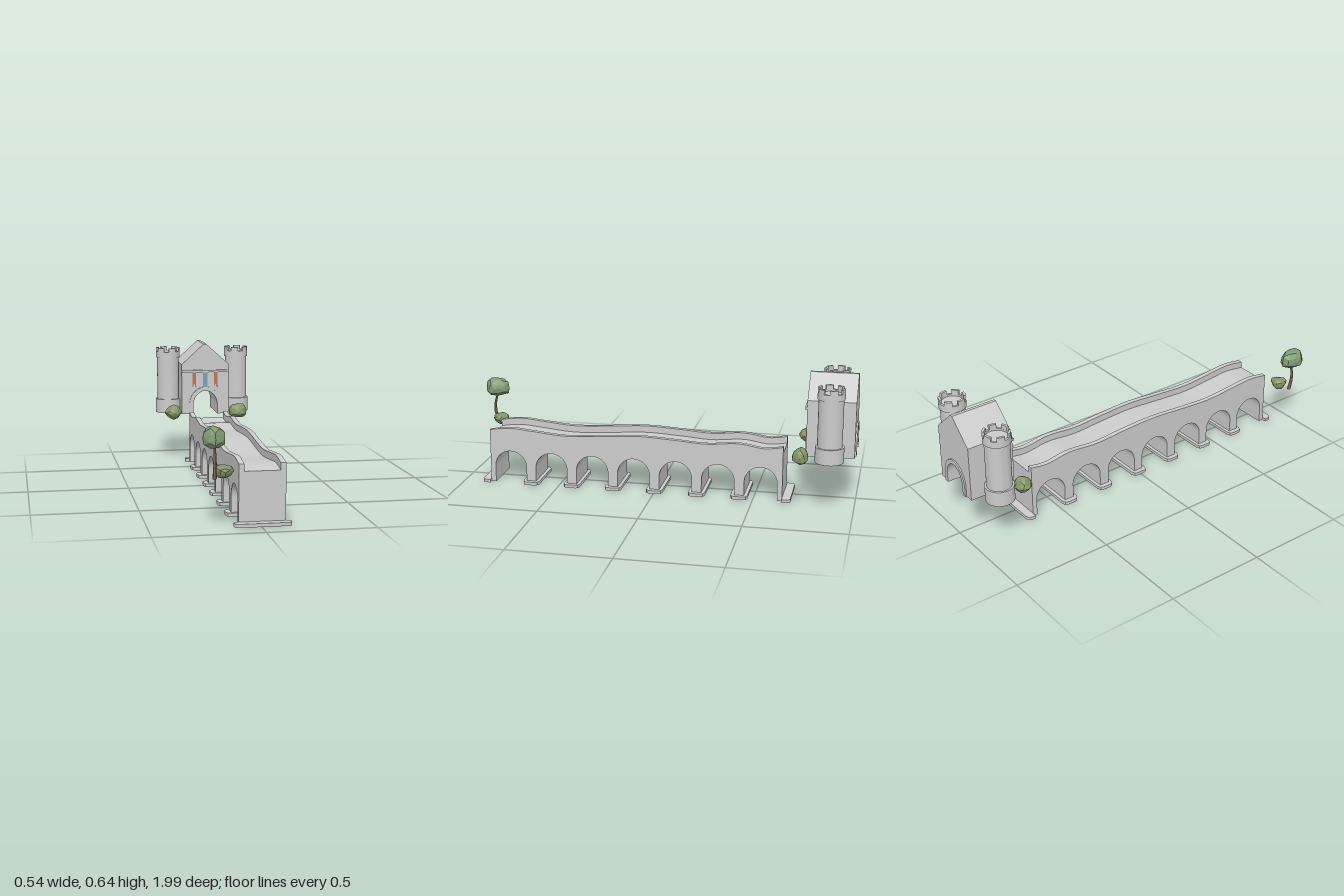
import * as THREE from 'three';
import { toCreasedNormals } from 'three/addons/utils/BufferGeometryUtils.js';

const CX = 0.0105; // shared centre line of bridge and gatehouse
const mat = (color, extra = {}) => new THREE.MeshStandardMaterial({ color, ...extra });
const stone = mat(0xcccccc);
const leaf = mat(0x7f9a74, { flatShading: true });
const bushGreen = mat(0x87966a, { flatShading: true });
const bark = mat(0x9a8070, { flatShading: true });

function add(parent, name, geometry, material = stone, x = 0, y = 0, z = 0) {
  const mesh = new THREE.Mesh(geometry, material);
  mesh.name = name;
  mesh.position.set(x, y, z);
  parent.add(mesh);
  return mesh;
}

const extrude = (shape, depth) => toCreasedNormals(
  new THREE.ExtrudeGeometry(shape, { depth, bevelEnabled: false, curveSegments: 24 }), 0.5);

// Side profile (shape x = -z) swept along +x
const extrudeAcross = (shape, depth) => extrude(shape, depth).rotateY(Math.PI / 2);

function makeBridge() {
  const bridge = new THREE.Group();
  bridge.name = 'bridge';
  const start = -0.86, step = 0.215, bays = 7, end = start + bays * step;
  const halfPier = 0.025, r = step / 2 - halfPier, spring = 0.086;
  const width = 0.214, wall = 0.025, drop = 0.034;

  // Gently waving line of the parapet top
  const wave = new THREE.SplineCurve([
    [-0.86, 0.278], [-0.75, 0.291], [-0.62, 0.28], [-0.46, 0.267], [-0.28, 0.276], [-0.085, 0.289],
    [0.1, 0.281], [0.26, 0.271], [0.42, 0.283], [0.55, 0.266], [end, 0.278],
  ].map(([x, y]) => new THREE.Vector2(x, y))).getPoints(70);

  // Arcade up to the deck
  const body = new THREE.Shape();
  body.moveTo(start, 0);
  for (let i = 0; i < bays; i++) {
    const c = start + (i + 0.5) * step;
    body.lineTo(c - r, 0);
    body.lineTo(c - r, spring);
    body.absarc(c, spring, r, Math.PI, 0, true);
    body.lineTo(c + r, 0);
  }
  body.lineTo(end, 0);
  for (const p of [...wave].reverse()) body.lineTo(p.x, p.y - drop);
  add(bridge, 'archedBody', extrudeAcross(body, width), stone, CX - width / 2);

  // Parapets follow the deck
  const strip = new THREE.Shape([
    ...wave.map((p) => new THREE.Vector2(p.x, p.y - drop)),
    ...[...wave].reverse(),
  ]);
  for (const x of [CX - width / 2, CX + width / 2 - wall])
    add(bridge, 'parapet', extrudeAcross(strip, wall), stone, x);

  // Pier footings with rounded ends, halved at both bridge ends
  for (let i = 0; i <= bays; i++) {
    const z = -(start + i * step), hw = 0.042, out = 0.024, hx = width / 2;
    const lo = i === bays ? 0 : -1, hi = i === 0 ? 0 : 1;
    const foot = new THREE.Shape();
    const pts = [];
    for (let k = 0; k <= 12; k++) {
      const a = THREE.MathUtils.lerp(lo, hi, k / 12);
      pts.push(new THREE.Vector2(hx + out * Math.sqrt(Math.max(0, 1 - a ** 4)), a * hw));
    }
    foot.setFromPoints([...pts, ...pts.map((p) => new THREE.Vector2(-p.x, p.y)).reverse()]);
    const geo = extrude(foot, 0.016).rotateX(-Math.PI / 2);
    add(bridge, 'pierFooting', geo, stone, CX, 0, z);
  }
  return bridge;
}

// Arch outline starting at the lower left, as points
function archPoints(hw, base, spring, top) {
  const pts = [new THREE.Vector2(-hw, base)];
  for (let k = 0; k <= 24; k++) {
    const a = Math.PI * (1 - k / 24);
    pts.push(new THREE.Vector2(hw * Math.cos(a), spring + (top - spring) * Math.sin(a)));
  }
  pts.push(new THREE.Vector2(hw, base));
  return pts;
}

function makeGatehouse() {
  const gate = new THREE.Group();
  gate.name = 'gatehouse';
  const base = 0.25, hw = 0.1325, front = -0.757, back = -0.992;
  const inner = archPoints(0.068, base, 0.3, 0.38);
  const outer = archPoints(0.09, base, 0.3, 0.402);

  // Gabled block with a passage
  const wall = new THREE.Shape([
    new THREE.Vector2(-hw, base), ...inner, new THREE.Vector2(hw, base),
    new THREE.Vector2(hw, 0.53), new THREE.Vector2(0.008, 0.643),
    new THREE.Vector2(-0.008, 0.643), new THREE.Vector2(-hw, 0.53),
  ]);
  add(gate, 'gabledBlock', extrude(wall, front - back), stone, CX, 0, back);

  // Raised arch surround, through to both faces
  const surround = new THREE.Shape([...outer, ...[...inner].reverse()]);
  add(gate, 'archSurround', extrude(surround, front - back + 0.014), stone, CX, 0, back - 0.007);

  add(gate, 'ledge', new THREE.BoxGeometry(2 * hw, 0.012, 0.012), stone, CX, 0.491, front + 0.004);

  // Swallow-tailed banners
  const banners = [[-0.0615, 0.02, 0.402, 0xb5765e], [0, 0.026, 0.387, 0x7f9db5], [0.0595, 0.02, 0.402, 0xb5765e]];
  for (const [x, w, low, color] of banners) {
    const cloth = new THREE.Shape();
    cloth.moveTo(-w / 2, 0.485);
    cloth.lineTo(-w / 2, low);
    cloth.lineTo(0, low + 0.019);
    cloth.lineTo(w / 2, low);
    cloth.lineTo(w / 2, 0.485);
    add(gate, 'banner', extrude(cloth, 0.003), mat(color), CX + x, 0, front + 0.001);
  }
  for (const side of [-1, 1]) gate.add(makeTower(side));
  return gate;
}

function makeTower(side) {
  const tower = new THREE.Group();
  tower.name = side > 0 ? 'leftTower' : 'rightTower';
  tower.position.set(CX + side * 0.1955, 0, -0.875);

  // Base drum, shaft and crown
  const profile = [
    [0, 0.25], [0.07, 0.25], [0.07, 0.327], [0.0605, 0.327], [0.0605, 0.562],
    [0.066, 0.562], [0.066, 0.595], [0.054, 0.595], [0.054, 0.585], [0, 0.585],
  ].map(([x, y]) => new THREE.Vector2(x, y));
  add(tower, 'towerBody', toCreasedNormals(new THREE.LatheGeometry(profile, 40), 0.5));

  // Battlements as arc blocks
  const half = 0.31;
  for (let i = 0; i < 6; i++) {
    const s = new THREE.Shape();
    s.absarc(0, 0, 0.066, -half, half, false);
    s.absarc(0, 0, 0.054, half, -half, true);
    const geo = extrude(s, 0.022).rotateX(-Math.PI / 2);
    const merlon = add(tower, 'merlon', geo, stone, 0, 0.594, 0);
    merlon.rotation.y = -Math.PI / 2 - side * 0.28 + (i * Math.PI) / 3;
  }
  return tower;
}

// Faceted foliage: a sphere pushed in and out by a seeded rule
function foliage(seed, rx, ry, rz) {
  const geo = new THREE.IcosahedronGeometry(1, 1);
  const p = geo.attributes.position, v = new THREE.Vector3();
  for (let i = 0; i < p.count; i++) {
    v.fromBufferAttribute(p, i);
    const n = Math.sin(v.x * 4.1 + seed) + Math.sin(v.y * 5.3 + seed * 2) + Math.sin(v.z * 4.7 + seed * 3);
    v.multiplyScalar(0.95 + 0.06 * n);
    p.setXYZ(i, v.x * rx, v.y * ry, v.z * rz);
  }
  geo.computeVertexNormals();
  return geo;
}

function makeTree() {
  const tree = new THREE.Group();
  tree.name = 'tree';
  tree.position.set(-0.215, 0.228, 0.925);
  // Bent, tapering trunk
  const trunk = new THREE.CylinderGeometry(0.005, 0.01, 0.15, 7, 6).translate(0, 0.075, 0);
  const p = trunk.attributes.position;
  for (let i = 0; i < p.count; i++) {
    const t = p.getY(i) / 0.15;
    p.setZ(i, p.getZ(i) + 0.016 * Math.sin(t * Math.PI));
  }
  trunk.computeVertexNormals();
  add(tree, 'trunk', trunk, bark);
  add(tree, 'canopy', foliage(2, 0.058, 0.052, 0.066), leaf, -0.005, 0.184, 0.003);
  return tree;
}

export function createModel() {
  const model = new THREE.Group();
  model.name = 'castleBridge';
  model.add(makeBridge(), makeGatehouse(), makeTree());
  // Bushes beside the gate and the tree
  add(model, 'gateBushRight', foliage(1, 0.05, 0.042, 0.044), bushGreen, -0.171, 0.264, -0.742);
  add(model, 'gateBushLeft', foliage(5, 0.051, 0.043, 0.045), bushGreen, 0.194, 0.264, -0.737);
  add(model, 'treeBush', foliage(3, 0.044, 0.032, 0.043), bushGreen, -0.168, 0.256, 0.893);
  return model;
}
